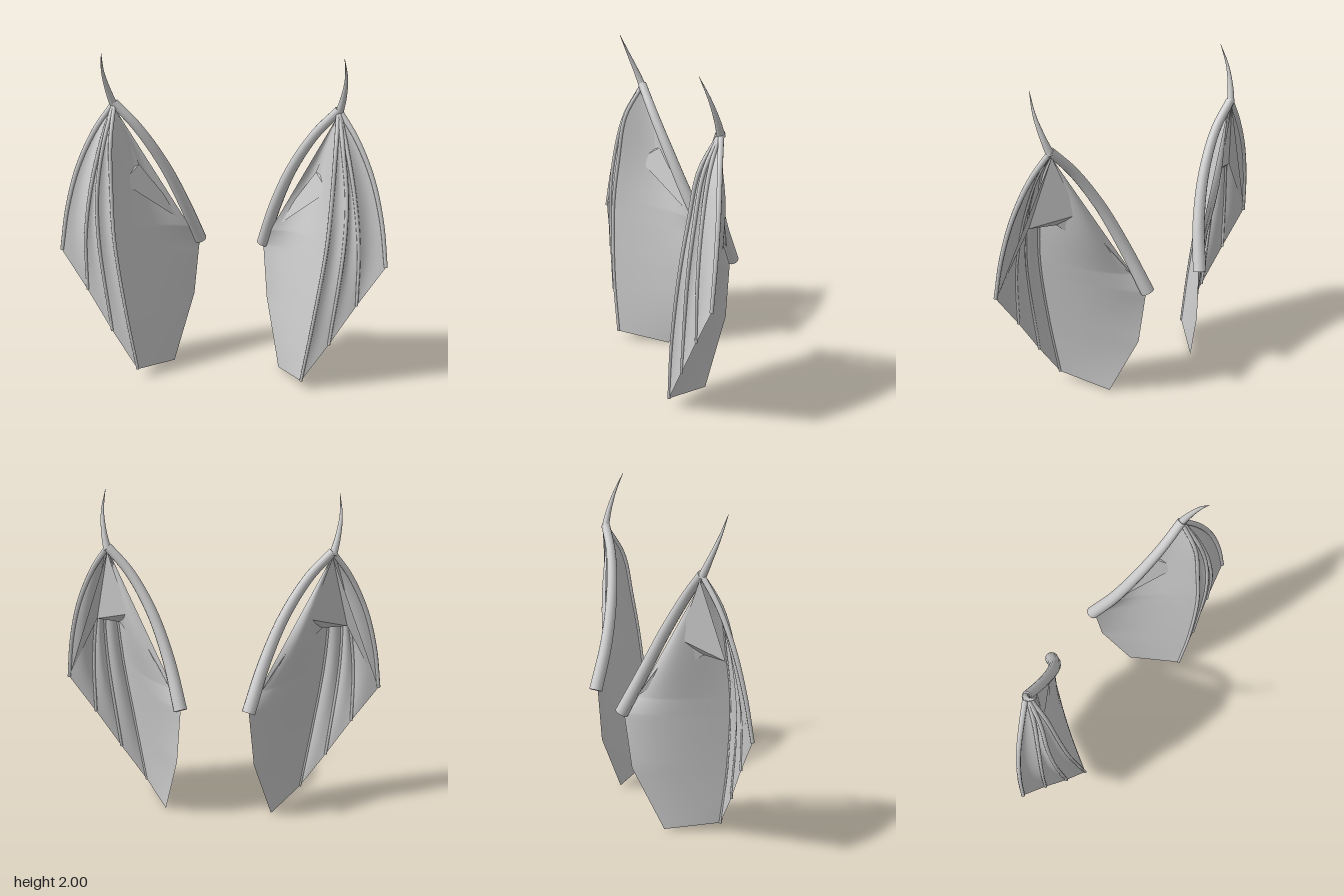
import * as THREE from 'three';

const hide = new THREE.MeshStandardMaterial({ color: 0xcccccc, side: THREE.DoubleSide });
hide.name = 'pale grey';

// Points are for the left wing; side = -1 mirrors them.
const ARM = [[0.203, 0.755, -0.25], [0.285, 1.03, -0.14], [0.395, 1.3, -0.055], [0.535, 1.53, 0.003], [0.67, 1.68, 0.025]];
const CLAW = [[0.67, 1.66, 0.02], [0.695, 1.76, 0.055], [0.71, 1.88, 0.105], [0.7, 2, 0.16]];
const FINGERS = [
  [[0.67, 1.68, 0.02], [0.78, 1.52, 0.07], [0.88, 1.3, 0.115], [0.945, 1.05, 0.155], [0.98, 0.79, 0.19]],
  [[0.67, 1.67, 0.03], [0.725, 1.48, 0.11], [0.785, 1.2, 0.175], [0.82, 0.9, 0.21], [0.82, 0.55, 0.215]],
  [[0.67, 1.67, 0.03], [0.705, 1.48, 0.135], [0.74, 1.2, 0.2], [0.735, 0.9, 0.235], [0.665, 0.3, 0.245]],
  [[0.665, 1.67, 0.03], [0.665, 1.48, 0.145], [0.655, 1.2, 0.2], [0.635, 0.9, 0.245], [0.57, 0.45, 0.27], [0.505, 0.06, 0.265]],
];
const INNER_EDGE = [[0.66, 1.64, 0.03], [0.26, 0.87, -0.17], [0.205, 0.74, -0.235], [0.235, 0.4, -0.2], [0.335, 0, -0.03]];

function add(group, name, geometry) {
  const mesh = new THREE.Mesh(geometry, hide);
  mesh.name = name;
  group.add(mesh);
  return mesh;
}

// Round limb along a curve, radius changing from r0 to r1, with end discs
function limb(group, name, curve, r0, r1, steps = 28, sides = 12) {
  const g = new THREE.TubeGeometry(curve, steps, 1, sides);
  const pos = g.attributes.position, v = new THREE.Vector3();
  for (let i = 0; i <= steps; i++) {
    const c = curve.getPointAt(i / steps), r = r0 + (r1 - r0) * i / steps;
    for (let j = 0; j <= sides; j++) {
      const k = i * (sides + 1) + j;
      v.fromBufferAttribute(pos, k).sub(c).multiplyScalar(r).add(c);
      pos.setXYZ(k, v.x, v.y, v.z);
    }
  }
  add(group, name, g);
  [[0, r0, -1], [1, r1, 1]].forEach(([t, r, dir]) => {
    if (r < 0.005) return;
    const cap = add(group, name + 'End', new THREE.CircleGeometry(r, sides));
    cap.position.copy(curve.getPointAt(t));
    cap.quaternion.setFromUnitVectors(new THREE.Vector3(0, 0, 1), curve.getTangentAt(t).multiplyScalar(dir));
  });
}

// Sheet of rows x cols cells; at(row, col) returns a Vector3
function sheet(rows, cols, side, at) {
  const p = [], idx = [];
  for (let i = 0; i <= rows; i++)
    for (let j = 0; j <= cols; j++) {
      p.push(...at(i, j).toArray());
      if (i === rows || j === cols) continue;
      const a = i * (cols + 1) + j, b = a + 1, c = a + cols + 1, d = c + 1;
      if (side > 0) idx.push(a, c, b, b, c, d);
      else idx.push(a, b, c, b, d, c);
    }
  const g = new THREE.BufferGeometry();
  g.setAttribute('position', new THREE.Float32BufferAttribute(p, 3));
  g.setIndex(idx);
  g.computeVertexNormals();
  return g;
}

function makeWing(side) {
  const wing = new THREE.Group();
  wing.name = side > 0 ? 'leftWing' : 'rightWing';
  const vec = ([x, y, z]) => new THREE.Vector3(x * side, y, z);
  const curve = pts => new THREE.CatmullRomCurve3(pts.map(vec));

  // Bones
  limb(wing, 'arm', curve(ARM), 0.041, 0.027);
  limb(wing, 'claw', curve(CLAW), 0.024, 0.001);
  const fingers = FINGERS.map(curve);
  fingers.forEach((f, i) => limb(wing, 'finger', f, i ? 0.013 : 0.017, i ? 0.009 : 0.011, 28, 8));

  // Skin between fingers, sagging backwards but straight along the hem
  for (let i = 0; i < 3; i++) {
    add(wing, 'fingerMembrane', sheet(24, 8, side, (r, c) => {
      const t = r / 24, u = c / 8;
      const p = fingers[i + 1].getPointAt(t).lerp(fingers[i].getPointAt(t), u);
      p.z -= 0.022 * Math.sin(Math.PI * u) * Math.sin(Math.PI * t);
      return p;
    }));
  }

  // Broad skin from the inner edge to the last finger, bowed backwards above the middle
  const edge = INNER_EDGE.map(vec), per = 8, rows = per * (edge.length - 1);
  add(wing, 'bodyMembrane', sheet(rows, 12, side, (r, c) => {
    const s = Math.min(Math.floor(r / per), edge.length - 2);
    const e = edge[s].clone().lerp(edge[s + 1], r / per - s);
    const t = THREE.MathUtils.clamp(1 - e.y / 1.64, 0, 1);
    const p = e.lerp(fingers[3].getPointAt(t), c / 12);
    p.z -= 0.1 * Math.sin(Math.PI * c / 12) * Math.sin(Math.PI * t ** 0.6) ** 2;
    return p;
  }));

  // Faceted flap behind the fingers
  const [W, T, N1, N2, E, C] = [[0.67, 1.65, 0.01], [0.975, 0.8, 0.18], [0.77, 1.2, 0.125],
    [0.62, 1.2, 0.07], [0.54, 1.285, -0.045], [0.27, 0.87, -0.185]].map(vec);
  const faces = [[W, N1, T], [W, E, N1], [E, N2, N1], [E, C, N2]];
  const flap = new THREE.BufferGeometry().setFromPoints(
    faces.flatMap(([a, b, c]) => (side > 0 ? [a, b, c] : [a, c, b])));
  flap.computeVertexNormals();
  add(wing, 'backFlap', flap);
  return wing;
}

export function createModel() {
  const model = new THREE.Group();
  model.name = 'wings';
  model.add(makeWing(1), makeWing(-1));
  return model;
}
